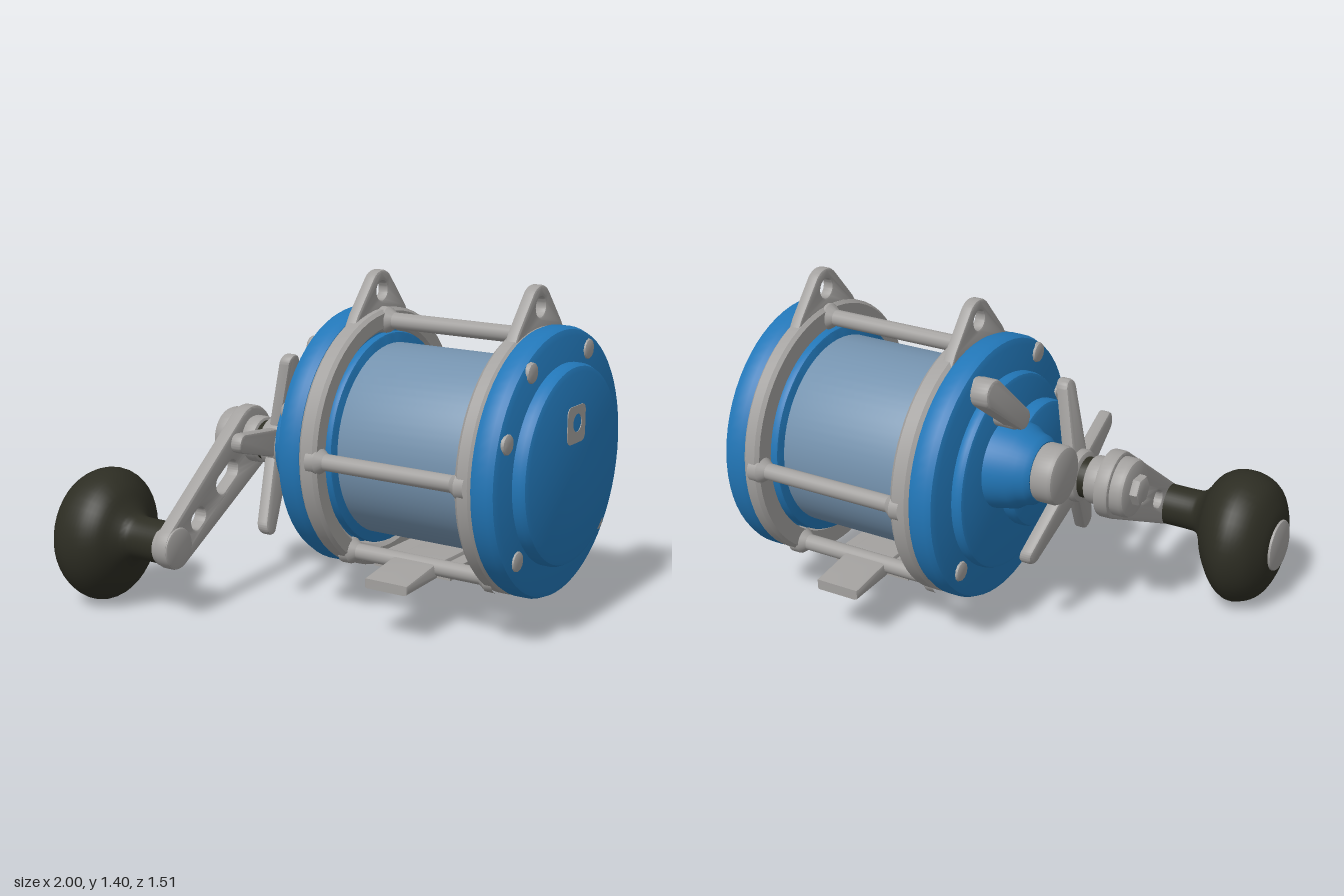
import * as THREE from 'three';
import { toCreasedNormals } from 'three/addons/utils/BufferGeometryUtils.js';

const AY = 0.7, AZ = -0.2; // spool axis
const HY = 0.655, HZ = -0.02; // crank axis

export function createModel() {
  const model = new THREE.Group();
  const mat = (name, color) => Object.assign(new THREE.MeshStandardMaterial({ color }), { name });
  const blue = mat('blue anodised', 0x2277b8);
  const grey = mat('brushed grey', 0xa3a19f);
  const line = mat('line blue', 0x7694b0);
  const dark = mat('dark rubber', 0x2d2d23);

  const add = (name, geo, material, parent = model) => {
    const mesh = new THREE.Mesh(geo, material);
    mesh.name = name;
    parent.add(mesh);
    return mesh;
  };

  // Turned part along x; points are [radius, x] with x rising on the outside
  const turned = (name, pts, y, z, material, seg = 48, crease = 0.6) => {
    const geo = new THREE.LatheGeometry(pts.map(([r, x]) => new THREE.Vector2(r, x)), seg);
    geo.rotateZ(-Math.PI / 2).translate(0, y, z);
    return add(name, toCreasedNormals(geo, crease), material);
  };

  const disc = (name, x0, x1, r, y, z, material, b = 0.012, seg = 48) =>
    turned(name, [[0, x0], [r - b, x0], [r - b * 0.3, x0 + b * 0.3], [r, x0 + b],
      [r, x1 - b], [r - b * 0.3, x1 - b * 0.3], [r - b, x1], [0, x1]], y, z, material, seg);

  // Plate drawn as (z, y) and given thickness from x0 to x1
  const plate = (name, shape, x0, x1, material, b = 0.008) => {
    const geo = new THREE.ExtrudeGeometry(shape, {
      depth: x1 - x0 - 2 * b, bevelEnabled: b > 0, bevelThickness: b, bevelSize: b,
      bevelOffset: -b, bevelSegments: 2, curveSegments: 16 });
    geo.rotateY(-Math.PI / 2).translate(x1 - b, 0, 0);
    return add(name, toCreasedNormals(geo, 0.6), material);
  };

  // Flat tapered arm with round ends from a to b; holes are [distance, radius, length]
  const arm = (name, a, b, r0, r1, thick, material, holes = []) => {
    const A = new THREE.Vector3(...a), U = new THREE.Vector3(...b).sub(A);
    const L = Math.hypot(U.y, U.z), k = Math.acos((r0 - r1) / L), bev = 0.012;
    const s = new THREE.Shape();
    s.absarc(0, 0, r0, k, 2 * Math.PI - k);
    s.absarc(L, 0, r1, -k, k);
    for (const [d, r, len] of holes) {
      const h = new THREE.Path();
      h.absarc(d, 0, r, Math.PI / 2, Math.PI * 1.5);
      h.absarc(d + len, 0, r, -Math.PI / 2, Math.PI / 2);
      s.holes.push(h);
    }
    const geo = new THREE.ExtrudeGeometry(s, { depth: thick - 2 * bev, bevelThickness: bev,
      bevelSize: bev, bevelOffset: -bev, bevelSegments: 2, curveSegments: 12 });
    geo.translate(0, 0, bev - thick / 2);
    U.divideScalar(L);
    const W = new THREE.Vector3(1, 0, 0);
    const V = new THREE.Vector3().crossVectors(W, U);
    geo.applyMatrix4(new THREE.Matrix4().makeBasis(U, V, W).setPosition(A));
    return add(name, toCreasedNormals(geo, 0.6), material);
  };

  // Side plates
  disc('leftSidePlate', 0.82, 0.94, 0.543, AY, AZ, blue, 0.035, 64);
  turned('leftCap', [[0.405, 0.93], [0.405, 0.97], [0.395, 0.99], [0.375, 0.998], [0, 1]], AY, AZ, blue, 64);
  disc('rightSidePlate', -0.06, 0.06, 0.543, AY, AZ, blue, 0.035, 64);
  disc('rightStep', -0.11, -0.05, 0.405, AY, AZ, blue, 0.02, 64);
  disc('gearCover', -0.17, -0.1, 0.265, 0.69, -0.06, blue, 0.02);
  turned('dragHousing', [[0, -0.285], [0.12, -0.285], [0.14, -0.265], [0.15, -0.23],
    [0.17, -0.2], [0.19, -0.1]], 0.77, -0.27, blue);
  disc('dragHousingCap', -0.38, -0.275, 0.12, 0.77, -0.27, grey, 0.02);

  // Small square inlay on the left cap
  const inlay = new THREE.Shape(), q = 0.075, c = 0.03;
  [[1, 1], [-1, 1], [-1, -1], [1, -1]].forEach(([u, v], i) =>
    inlay.absarc(AZ + 0.005 + u * (q - c), 0.87 + v * (q - c), c, i * Math.PI / 2, (i + 1) * Math.PI / 2));
  inlay.holes.push(new THREE.Path().absarc(AZ - 0.002, 0.875, 0.036, 0, Math.PI * 2));
  plate('capInlay', inlay, 0.996, 1.002, grey, 0);

  // Frame rings with a drilled lug on top
  for (const [side, x0, x1, e0] of [['right', 0.05, 0.135, 0.048], ['left', 0.765, 0.84, 0.782]]) {
    turned(side + 'FrameRing', [[0.455, x0], [0.53, x0], [0.543, x0 + 0.015], [0.543, x1 - 0.015],
      [0.53, x1], [0.47, x1], [0.455, x1 - 0.015], [0.455, x0]], AY, AZ, grey, 64);
    const lug = new THREE.Shape();
    lug.moveTo(AZ - 0.22, 1.17).lineTo(AZ + 0.22, 1.17).lineTo(AZ + 0.18, 1.235);
    lug.absarc(AZ, 1.315, 0.085, 0.7, Math.PI - 0.7);
    lug.lineTo(AZ - 0.18, 1.235);
    lug.holes.push(new THREE.Path().absarc(AZ, 1.315, 0.04, 0, Math.PI * 2));
    plate(side + 'Lug', lug, e0, e0 + 0.05, grey, 0.01);
  }

  // Spool
  disc('lineSpool', 0.13, 0.78, 0.4, AY, AZ, line, 0.004, 64);
  disc('spoolFlangeRight', 0.105, 0.145, 0.445, AY, AZ, blue, 0.01, 64);
  disc('spoolFlangeLeft', 0.74, 0.79, 0.445, AY, AZ, blue, 0.01, 64);

  // Cross pillars with flared ends
  for (const [y, z] of [[1.195, AZ], [0.7, 0.3], [0.7, -0.7], [0.27, 0.06], [0.27, -0.46]]) {
    turned('pillar', [[0.055, 0.09], [0.055, 0.13], [0.034, 0.16], [0.034, 0.74],
      [0.055, 0.77], [0.055, 0.81]], y, z, grey, 20);
  }

  // Mounting foot
  const foot = new THREE.Shape([[0.3, 0.215], [0.3, 0.255], [0.08, 0.29], [-0.47, 0.29], [-0.69, 0.258],
    [-0.69, 0.215], [-0.47, 0.225], [0.08, 0.225]].map(([z, y]) => new THREE.Vector2(z, y)));
  plate('foot', foot, 0.34, 0.54, grey, 0.012);
  add('footPlate', new THREE.BoxGeometry(0.36, 0.045, 0.54).translate(0.42, 0.25, AZ), grey);

  // Screws on both faces
  for (const [y, z] of [[1.11, 0.07], [1.13, -0.4], [0.87, 0.25], [0.39, 0.15], [0.39, -0.54]]) {
    disc('leftScrew', 0.91, 0.95, 0.042, y, z, grey, 0.012, 12);
    disc('rightScrew', -0.072, -0.03, 0.042, y, z, grey, 0.012, 12);
  }

  // Clicker lever
  arm('clickerLever', [-0.185, 1.0, -0.32], [-0.17, 1.165, -0.51], 0.045, 0.06, 0.08, grey);
  disc('clickerPivot', -0.2, -0.1, 0.05, 1.0, -0.32, grey, 0.012, 20);

  // Star drag wheel
  for (let i = 0; i < 5; i++) {
    const a = (13 + i * 72) * Math.PI / 180;
    arm('starArm', [-0.3, HY, HZ], [-0.225, HY + 0.355 * Math.sin(a), HZ + 0.385 * Math.cos(a)],
      0.065, 0.04, 0.055, grey);
  }
  disc('starHub', -0.34, -0.24, 0.11, HY, HZ, grey, 0.02, 32);
  disc('crankSleeve', -0.39, -0.15, 0.085, HY, HZ, dark, 0.01, 32);
  disc('crankCollar', -0.44, -0.37, 0.1, HY, HZ, grey, 0.015, 32);

  // Crank handle
  arm('crankArm', [-0.465, HY, HZ], [-0.425, 0.315, 0.55], 0.14, 0.092, 0.065, grey,
    [[0.2, 0.04, 0.09], [0.48, 0.036, 0.03]]);
  disc('crankWasher', -0.565, -0.48, 0.122, HY, HZ, grey, 0.02, 32);
  disc('crankNut', -0.6, -0.55, 0.062, HY, HZ, grey, 0.012, 6);
  disc('knobBoss', -0.47, -0.385, 0.085, 0.315, 0.555, grey, 0.012, 32);

  // Knob: oval head drifting off the stem axis
  const curve = new THREE.SplineCurve([[0.001, -0.99], [0.1, -0.99], [0.17, -0.975], [0.245, -0.93],
    [0.283, -0.85], [0.268, -0.77], [0.21, -0.7], [0.14, -0.655], [0.1, -0.62], [0.09, -0.58], [0.09, -0.45]]
    .map(([r, x]) => new THREE.Vector2(r, x)));
  const knob = new THREE.LatheGeometry(curve.getPoints(40), 40).rotateZ(-Math.PI / 2);
  const p = knob.attributes.position;
  for (let i = 0; i < p.count; i++) {
    const t = THREE.MathUtils.smoothstep(p.getX(i), -0.85, -0.6);
    p.setY(i, p.getY(i) + 0.285 + 0.035 * t);
    p.setZ(i, p.getZ(i) * 0.95 + 0.482 + 0.058 * t);
  }
  add('knob', toCreasedNormals(knob, 0.8), dark);
  disc('knobEndCap', -1, -0.96, 0.11, 0.285, 0.482, grey, 0.008, 32);

  return model;
}
